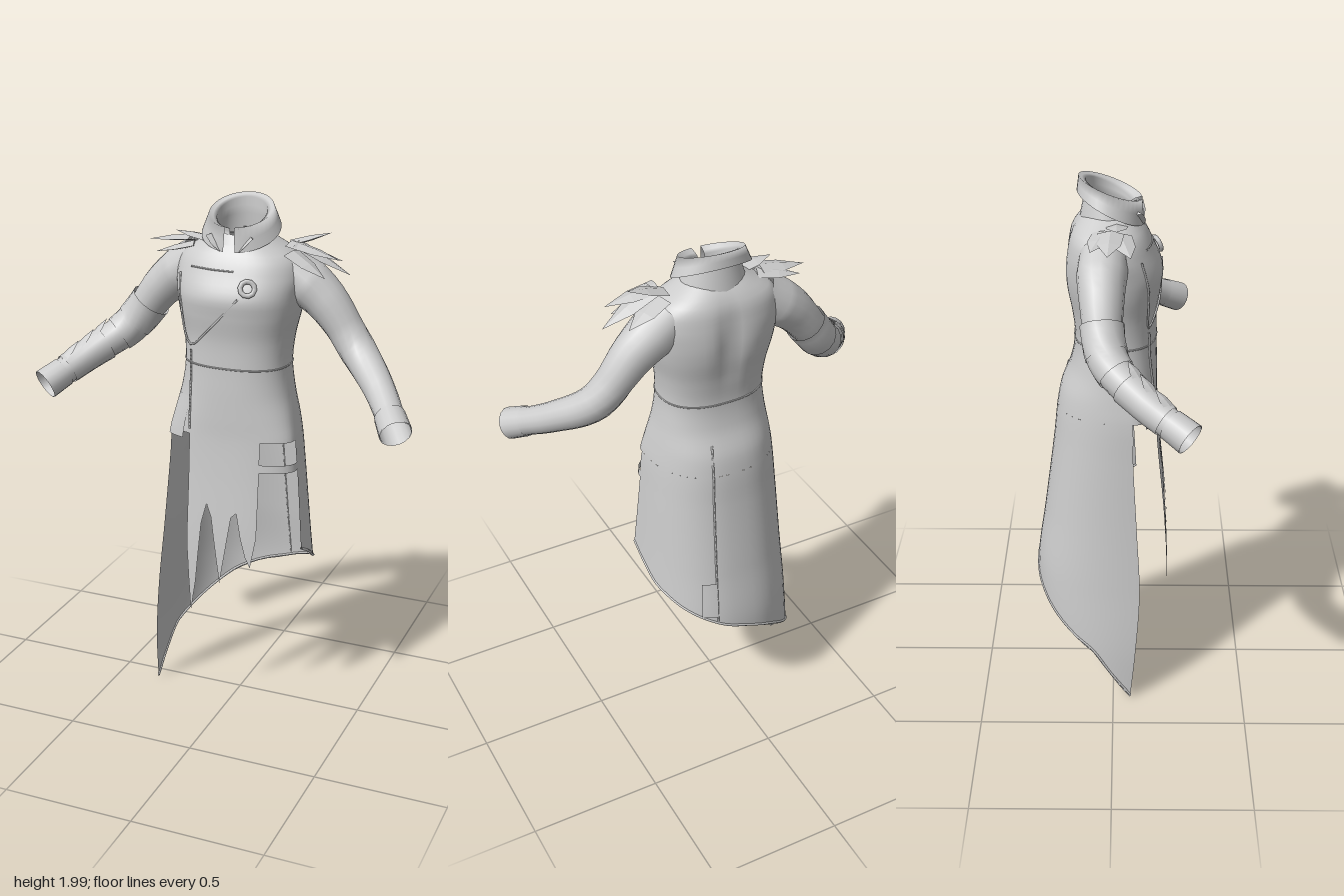
import * as THREE from 'three';
import { ParametricGeometry } from 'three/addons/geometries/ParametricGeometry.js';

const cloth = new THREE.MeshStandardMaterial({ color: 0xcccccc, side: THREE.DoubleSide });
const hard = new THREE.MeshStandardMaterial({ color: 0xcccccc, side: THREE.DoubleSide, flatShading: true });
const V = (x, y, z) => new THREE.Vector3(x, y, z);

// Coat sections, hem to neck: y, half width, front z, z of widest point, back z
const SECTIONS = [
  [0, 0.335, 0.21, 0.066, -0.22], [0.2, 0.33, 0.21, 0.085, -0.28], [0.45, 0.308, 0.21, 0.1, -0.297],
  [0.7, 0.285, 0.2, 0.088, -0.265], [1, 0.26, 0.172, 0.072, -0.226], [1.13, 0.248, 0.163, 0.07, -0.212],
  [1.2, 0.234, 0.162, 0.05, -0.198], [1.3, 0.212, 0.16, 0.02, -0.16], [1.4, 0.2, 0.157, 0.01, -0.145],
  [1.5, 0.207, 0.158, 0, -0.155], [1.6, 0.228, 0.173, -0.01, -0.174], [1.66, 0.236, 0.178, -0.02, -0.178],
  [1.74, 0.24, 0.145, -0.03, -0.17], [1.8, 0.215, 0.115, -0.035, -0.155], [1.84, 0.15, 0.085, -0.03, -0.13],
  [1.87, 0.1, 0.06, -0.02, -0.1],
];
const section = y => spline.evaluate(y);
const spline = new THREE.CubicInterpolant(SECTIONS.map(s => s[0]), SECTIONS.flatMap(s => s.slice(1)), 4, []);

// Linear lookup in an evenly spaced list
function lookup(list, u) {
  const f = THREE.MathUtils.clamp(u, 0, 1) * (list.length - 1), i = Math.min(Math.floor(f), list.length - 2);
  return THREE.MathUtils.lerp(list[i], list[i + 1], f - i);
}

// Point on the coat, slightly squared; angle 0 is the front, a quarter turn is +x
const SQUARE = 0.84;
const squared = v => Math.sign(v) * Math.abs(v) ** SQUARE;
function coatPoint(a, y, out = 0) {
  const [hw, zf, zm, zb] = section(y), c = squared(Math.cos(a)), x = (hw + out) * squared(Math.sin(a));
  const spine = c < 0 ? 0.02 * Math.exp(-((x / 0.05) ** 2) - ((y - 1.65) / 0.14) ** 2) : 0;
  return V(x, y, zm + (c > 0 ? zf - zm + out : zm - zb + out) * c + spine);
}
const onFront = (x, y, out = 0.003) =>
  coatPoint(Math.sign(x) * Math.asin((Math.abs(x) / section(y)[0]) ** (1 / SQUARE)), y, out);

function surface(name, fn, nu, nv) {
  const m = new THREE.Mesh(new ParametricGeometry((u, v, p) => p.copy(fn(u, v)), nu, nv), cloth);
  m.name = name;
  return m;
}

function cord(name, points, r = 0.004, closed = false) {
  const curve = new THREE.CatmullRomCurve3(points, closed);
  const m = new THREE.Mesh(new THREE.TubeGeometry(curve, points.length * 5, r, 5, closed), cloth);
  m.name = name;
  return m;
}

// Flat pointed plate from a base to a tip
function plate(name, base, tip, w) {
  const d = tip.clone().sub(base), len = d.length();
  const g = new THREE.ConeGeometry(w, len, 4, 2).translate(0, len / 2, 0);
  const p = g.attributes.position;
  for (let i = 0; i < p.count; i++) {
    const s = p.getY(i) / len, k = s > 0.4 && s < 0.6 ? 1.7 : 1;
    p.setXYZ(i, p.getX(i) * k, p.getY(i), p.getZ(i) * 0.25 * k);
  }
  const dir = d.normalize(), side = V(0, 1, 0).cross(dir).normalize();
  const m = new THREE.Mesh(g, hard);
  m.name = name;
  m.quaternion.setFromRotationMatrix(new THREE.Matrix4().makeBasis(side, dir, side.clone().cross(dir)));
  m.position.copy(base);
  return m;
}

// Sleeve surface between two positions along the arm
const armCurve = new THREE.CatmullRomCurve3([V(0.17, 1.755, -0.035), V(0.315, 1.645, -0.04),
  V(0.455, 1.472, -0.015), V(0.575, 1.375, 0.1), V(0.685, 1.285, 0.26)]);
const ARM_R = [0.085, 0.09, 0.08, 0.069, 0.067, 0.062, 0.056, 0.052, 0.056];
function armPoint(side, s, a, out = 0) {
  const p = armCurve.getPoint(s), t = armCurve.getTangent(s), r = lookup(ARM_R, s) + out;
  const n = t.clone().cross(V(0, 1, 0)).normalize(), b = n.clone().cross(t);
  p.addScaledVector(n, r * Math.cos(a)).addScaledVector(b, r * Math.sin(a));
  p.x *= side;
  return p;
}
const sleeve = (name, side, s0, s1, out, n) => surface(name,
  (u, v) => armPoint(side, s0 + (s1 - s0) * THREE.MathUtils.clamp(v, 0, 1), u * Math.PI * 2, out), 16, n);

export function createModel() {
  const g = new THREE.Group();
  g.name = 'coat';

  // Closed upper body
  g.add(surface('bodice', (u, v) => coatPoint(u * Math.PI * 2, 1.87 - 0.74 * v), 48, 37));

  // Skirt open at the front, with a slanting hem; angle runs from +x round the back to -x
  const HEM = [0.7, 0.6, 0.545, 0.495, 0.44, 0.37, 0.28, 0.19, 0];
  const skirtPoint = (u, v, out = 0) =>
    coatPoint(Math.PI * (0.5 + u), THREE.MathUtils.lerp(1.13, lookup(HEM, u), v), out);
  g.add(surface('skirt', (u, v) => skirtPoint(u, v), 32, 20));
  g.add(cord('hemTrim', Array.from({ length: 17 }, (_, i) => skirtPoint(i / 16, 0.99)), 0.005));

  // Front panel torn into three pointed strips
  const TEETH = [0.7, 0.42, 0.55, 0.79, 0.87, 0.82, 0.69, 0.56, 0.69, 0.83, 0.85, 0.75, 0.68, 0.64, 0.76];
  g.add(surface('frontPanel', (u, v) =>
    onFront(-0.14 + 0.28 * u, THREE.MathUtils.lerp(1.15, lookup(TEETH, u), v), 0.002), 28, 12));

  // Strap joining the panel to the skirt
  g.add(surface('sideStrap', (u, v) => coatPoint(0.45 + u * 1.12, 1.045 - 0.03 * v), 8, 1));

  // Sleeves, with banded armour on the right one
  for (const side of [1, -1]) {
    g.add(sleeve(side > 0 ? 'leftSleeve' : 'rightSleeve', side, 0, 1, 0, 24));
    g.add(sleeve(side > 0 ? 'leftCuff' : 'rightCuff', side, 0.9, 1, 0.003, 3));
  }
  for (const [a, b, o] of [[0.36, 0.48, 0.008], [0.47, 0.58, 0.005], [0.66, 0.88, 0.005]])
    g.add(sleeve('rightArmBand', -1, a, b, o, 4));
  for (const s of [0.7, 0.79, 0.88])
    g.add(plate('forearmPlate', armPoint(-1, s, 1.5, -0.005), armPoint(-1, s - 0.11, 1.5, 0.018), 0.026));

  // Overlapping shoulder plates that slope down over the sleeves
  const pads = [
    [[0.22, 1.85, 0], [0.42, 1.75, -0.01], 0.05], [[0.21, 1.83, -0.04], [0.36, 1.775, -0.1], 0.048],
    [[0.21, 1.82, 0.03], [0.35, 1.75, 0.07], 0.048], [[0.19, 1.845, -0.02], [0.335, 1.89, -0.04], 0.045],
    [[0.2, 1.85, 0.01], [0.39, 1.81, 0.03], 0.048],
    [[-0.19, 1.835, -0.01], [-0.37, 1.81, -0.02], 0.048], [[-0.17, 1.83, -0.03], [-0.32, 1.81, -0.08], 0.045],
    [[-0.17, 1.82, 0.02], [-0.31, 1.785, 0.06], 0.045], [[-0.12, 1.84, 0.01], [-0.25, 1.86, 0.01], 0.04],
  ];
  for (const [b, t, w] of pads) g.add(plate('shoulderPlate', V(...b), V(...t), w));

  // Turned-down collar, higher at the back and open at the front
  g.add(surface('collar', (u, v) => {
    const a = 0.15 + u * (Math.PI * 2 - 0.3), k = (1 + Math.cos(a)) / 2, rim = 1.99 - 0.085 * k;
    const y = lookup([1.85, (1.85 + rim) / 2, rim - 0.01, rim + 0.004, rim - 0.05 - 0.035 * k], v);
    const rx = lookup([0.1, 0.09, 0.092, 0.118, 0.148], v);
    const rz = lookup([0.085, 0.08, 0.083, 0.108, 0.115], v);
    return V(rx * Math.sin(a), y, -0.018 + rz * Math.cos(a) + (v > 0.7 ? 0.012 * k : 0));
  }, 36, 8));
  g.add(surface('collarStand', (u, v) => {
    const a = u * Math.PI * 2, r = 1.25 - 0.25 * v;
    return V(0.1 * r * Math.sin(a), 1.84 + v * (0.07 - 0.035 * Math.cos(a)), -0.018 + 0.085 * r * Math.cos(a));
  }, 28, 3));

  // Lapel points
  for (const s of [1, -1])
    g.add(plate('lapel', V(s * 0.08, 1.875, 0.085), V(s * 0.035, 1.82, 0.108), 0.022));

  // Seams, front closure and buckle
  g.add(cord('waistSeam', Array.from({ length: 24 }, (_, i) => coatPoint(i * Math.PI / 12, 1.4)), 0.003, true));
  g.add(cord('frontClosure', [[-0.19, 1.73], [-0.18, 1.62], [-0.145, 1.47], [-0.06, 1.54], [0.06, 1.67]]
    .map(p => onFront(...p))));
  g.add(cord('panelSeam', [1.45, 1.35, 1.25, 1.15].map(y => onFront(-0.14, y))));
  g.add(cord('chestSeam', [-0.14, -0.05, 0.03].map(x => onFront(x, 1.76)), 0.003));
  g.add(cord('backSeam', [1.25, 1.13, 1, 0.85, 0.7, 0.55, 0.5].map(y => coatPoint(Math.PI - 0.3, y, 0.001))));
  const buckle = new THREE.Mesh(new THREE.TorusGeometry(0.026, 0.009, 6, 10), cloth);
  buckle.name = 'buckle';
  buckle.position.copy(onFront(0.09, 1.71, 0.008));
  buckle.rotation.set(-0.4, 0.35, 0);
  g.add(buckle);

  // Waist flap at the right hip and a tab on the back slit
  g.add(surface('hipFlap', (u, v) => coatPoint(-1.15 + u * 0.5, 1.27 - 0.16 * v, 0.006 * v + 0.002), 6, 4));
  g.add(surface('slitTab', (u, v) => coatPoint(Math.PI - 0.3 - 0.2 * u, 0.67 - 0.15 * v, 0.006), 4, 4));
  return g;
}
